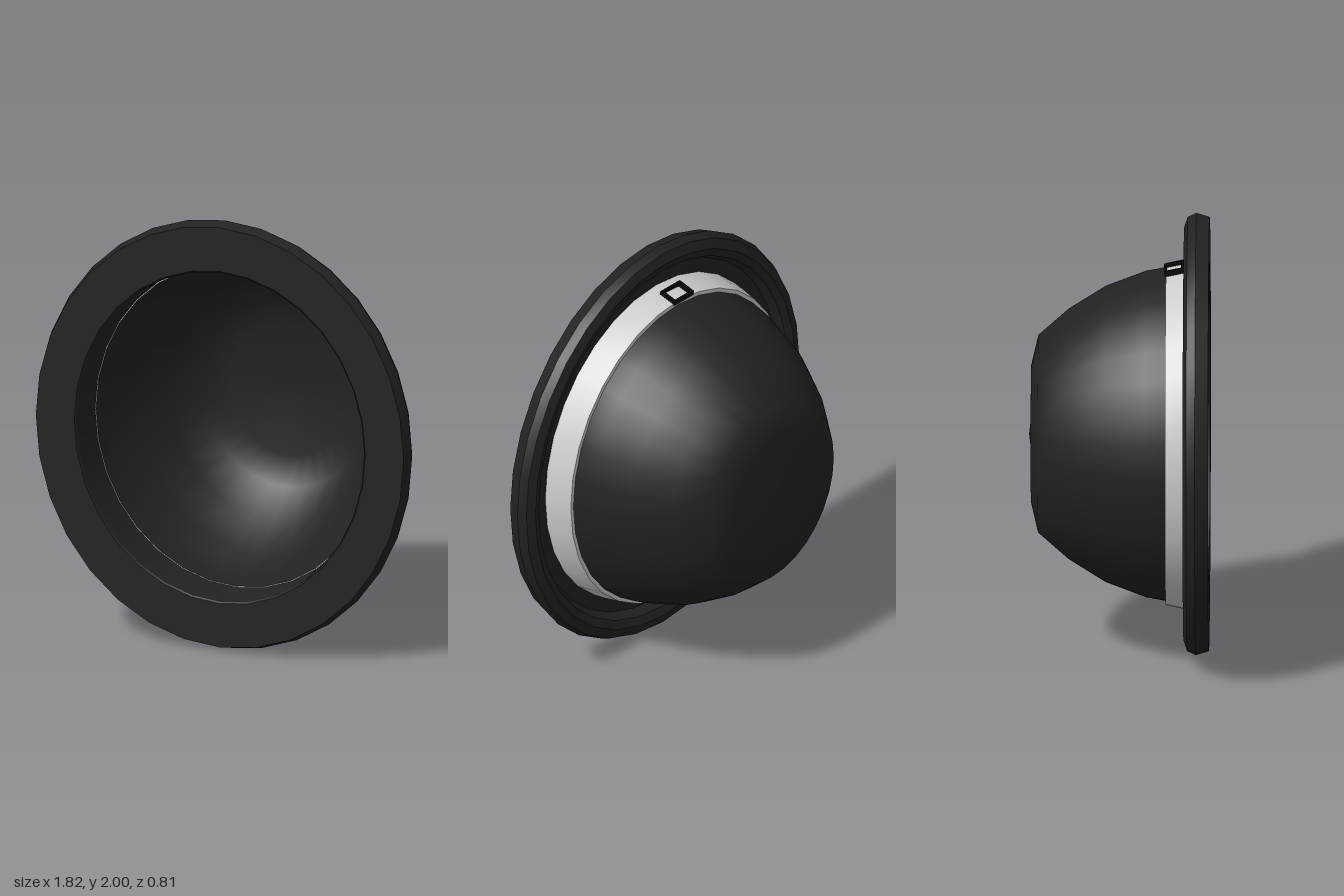
import * as THREE from 'three';
import { toCreasedNormals } from 'three/addons/utils/BufferGeometryUtils.js';

const felt = new THREE.MeshStandardMaterial({ color: 0x222222, side: THREE.DoubleSide });
const ribbon = new THREE.MeshStandardMaterial({ color: 0xcccccc, side: THREE.DoubleSide });
const black = new THREE.MeshStandardMaterial({ color: 0x0a0a0a });

// Oval ring or shell around the z axis; the profile lists [radius, z] from front to back
function ovalLathe(name, profile, material, crease) {
  const points = profile.map(([r, z]) => new THREE.Vector2(r, -z));
  const geometry = new THREE.LatheGeometry(points, 32);
  geometry.rotateX(-Math.PI / 2);
  geometry.scale(0.91, 1, 1);
  const mesh = new THREE.Mesh(toCreasedNormals(geometry, crease), material);
  mesh.name = name;
  mesh.position.y = 1;
  return mesh;
}

export function createModel() {
  const hat = new THREE.Group();
  hat.name = 'bowlerHat';

  // Open domed shell with a small tip at its centre
  hat.add(ovalLathe('crown', [
    [0.77, 0.4], [0.763, 0.33], [0.755, 0.21], [0.738, 0.12], [0.67, -0.06],
    [0.567, -0.225], [0.447, -0.362], [0.31, -0.394], [0.05, -0.397], [0, -0.403],
  ], felt, 0.75));

  // Flat front face, rolled outer rim and a shallow trough behind it
  hat.add(ovalLathe('brim', [
    [0.77, 0.395], [0.777, 0.404], [0.982, 0.404], [1, 0.345], [0.982, 0.306],
    [0.935, 0.29], [0.895, 0.304], [0.87, 0.345], [0.765, 0.345],
  ], felt, 0.6));

  // Ribbon with a thin edge closing onto the crown
  hat.add(ovalLathe('hatBand', [
    [0.8, 0.35], [0.791, 0.29], [0.774, 0.21], [0.75, 0.21],
  ], ribbon, 0.6));

  // Square buckle frame lying on the band
  const frame = new THREE.Shape();
  frame.moveTo(-0.063, -0.045).lineTo(0.063, -0.045).lineTo(0.063, 0.045).lineTo(-0.063, 0.045).closePath();
  const hole = new THREE.Path();
  hole.moveTo(-0.05, -0.034).lineTo(-0.05, 0.034).lineTo(0.05, 0.034).lineTo(0.05, -0.034).closePath();
  frame.holes.push(hole);
  const buckleGeometry = new THREE.ExtrudeGeometry(frame, { depth: 0.025, bevelEnabled: false });
  buckleGeometry.rotateX(-Math.PI / 2);
  const buckle = new THREE.Mesh(buckleGeometry, black);
  buckle.name = 'buckle';
  buckle.position.set(-0.03, 1.772, 0.25);
  buckle.rotation.x = -0.21;
  hat.add(buckle);

  return hat;
}
